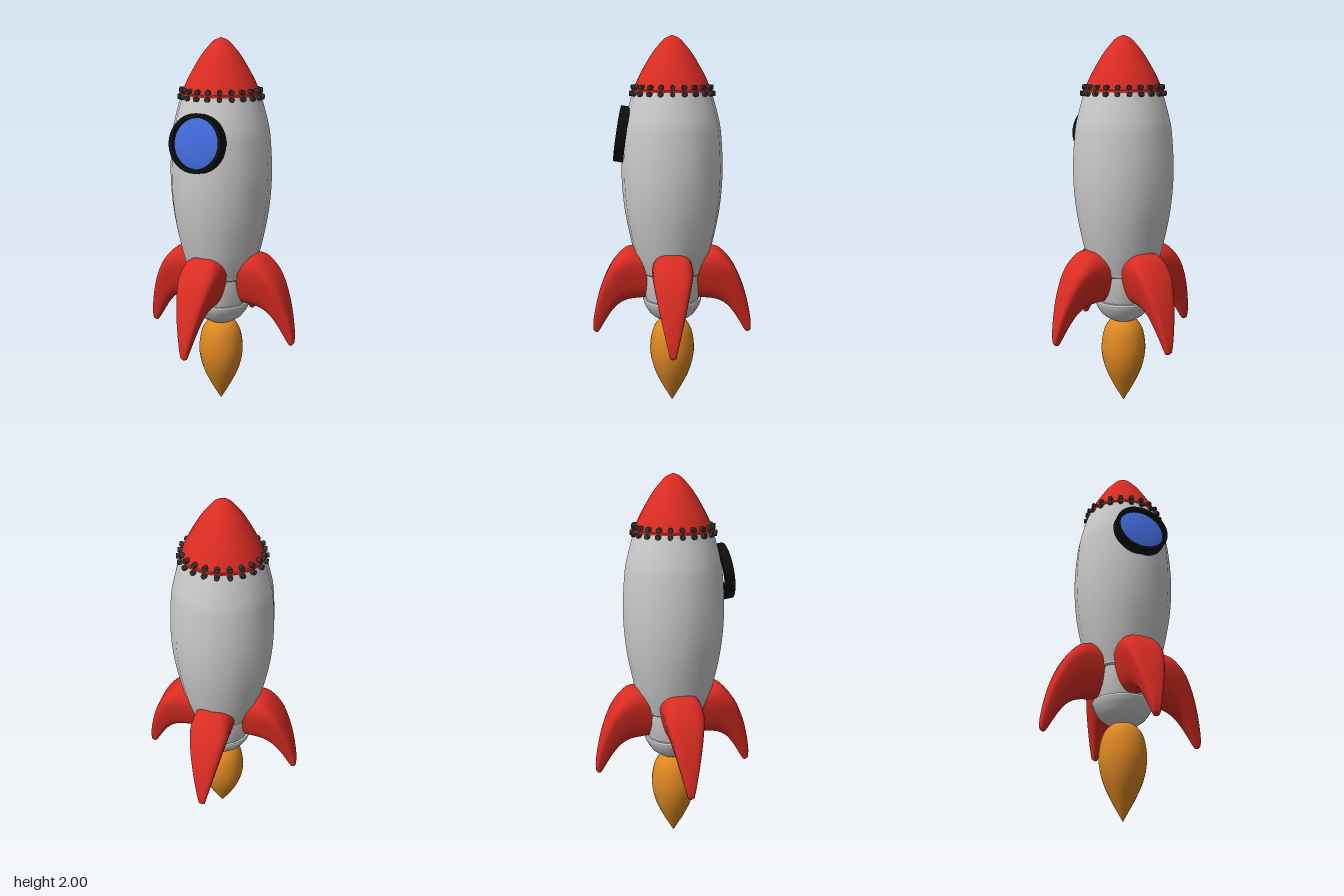
import * as THREE from 'three';
import { toCreasedNormals } from 'three/addons/utils/BufferGeometryUtils.js';

const mat = (name, color, extra = {}) => {
  const m = new THREE.MeshStandardMaterial({ color, ...extra });
  m.name = name;
  return m;
};
const vecs = (pts) => pts.map(([x, y]) => new THREE.Vector2(x, y));

// Smooth turned shape through a few [radius, height] points, bottom to top
function turned(pts, sides, samples = 32) {
  const curve = new THREE.SplineCurve(vecs(pts));
  const profile = curve.getPoints(samples).map((p) => new THREE.Vector2(Math.max(p.x, 0), p.y));
  return new THREE.LatheGeometry(profile, sides);
}

// Turned shape with straight segments and sharp edges
function turnedSharp(pts, sides) {
  return toCreasedNormals(new THREE.LatheGeometry(vecs(pts), sides), 0.6);
}

// Swept fin pointing to +x: rounded sections between an outer and an inner edge
function finGeometry() {
  const outer = new THREE.SplineCurve(vecs([
    [0.14, 0.88], [0.215, 0.892], [0.27, 0.868], [0.335, 0.79], [0.385, 0.68],
    [0.416, 0.57], [0.434, 0.47], [0.434, 0.42]]));
  const inner = new THREE.SplineCurve(vecs([
    [0.1, 0.615], [0.18, 0.608], [0.245, 0.598], [0.295, 0.57], [0.335, 0.525],
    [0.37, 0.47], [0.396, 0.425], [0.41, 0.407]]));
  const rings = 28, sides = 28;
  const pos = [], idx = [];
  const soft = (v) => Math.sign(v) * Math.abs(v) ** 0.6;
  for (let i = 0; i <= rings; i++) {
    const o = outer.getPoint(i / rings), n = inner.getPoint(i / rings);
    for (let j = 0; j < sides; j++) {
      const a = (j / sides) * Math.PI * 2;
      const t = 0.5 + 0.5 * soft(Math.cos(a));
      const x = n.x + (o.x - n.x) * t, y = n.y + (o.y - n.y) * t;
      // the fin narrows towards its lower end
      const w = Math.min(0.108, 0.014 + 0.24 * (y - 0.407));
      pos.push(x, y, w * soft(Math.sin(a)));
      if (i < rings) {
        const k = (j + 1) % sides, r = i * sides, s = r + sides;
        idx.push(r + j, r + k, s + k, r + j, s + k, s + j);
      }
    }
  }
  // tip cap
  const tip = pos.length / 3, last = rings * sides;
  pos.push(0.424, 0.406, 0);
  for (let j = 0; j < sides; j++) idx.push(tip, last + j, last + ((j + 1) % sides));
  const g = new THREE.BufferGeometry();
  g.setAttribute('position', new THREE.Float32BufferAttribute(pos, 3));
  g.setIndex(idx);
  g.computeVertexNormals();
  return g;
}

export function createModel() {
  const root = new THREE.Group();
  root.name = 'rocket';
  const grey = mat('hull grey', 0xcacaca);
  const red = mat('red paint', 0xdb2c22);
  const black = mat('window frame black', 0x0d0d0d);
  const dark = mat('rivet grey', 0x343434);
  const blue = mat('window blue', 0x426bdc);
  const orange = mat('flame orange', 0xdd8822);

  const add = (name, geo, material, parent = root) => {
    const m = new THREE.Mesh(geo, material);
    m.name = name;
    parent.add(m);
    return m;
  };

  // Hull
  add('body', turned([[0.176, 0.768], [0.215, 0.9], [0.254, 1.1], [0.268, 1.3], [0.257, 1.5],
    [0.238, 1.6], [0.203, 1.722]], 16), grey);
  add('bodyLip', turnedSharp([[0, 0.755], [0.17, 0.755], [0.177, 0.762], [0.177, 0.77], [0.15, 0.775]], 16), grey);
  add('engineSection', turnedSharp([[0, 0.602], [0.146, 0.602], [0.152, 0.62], [0.168, 0.74], [0.168, 0.757]], 16), grey);
  add('nozzleBowl', turned([[0, 0.472], [0.06, 0.482], [0.115, 0.517], [0.148, 0.565], [0.16, 0.597]], 24), grey);
  add('nozzleTop', turnedSharp([[0.16, 0.597], [0.158, 0.605], [0, 0.606]], 24), grey);

  // Nose cone with a narrow rim at its base
  add('noseCone', turned([[0.203, 1.722], [0.168, 1.8], [0.109, 1.9], [0.07, 1.95], [0.038, 1.983],
    [0, 2.0]], 32), red);
  add('noseRim', turnedSharp([[0.19, 1.714], [0.209, 1.714], [0.209, 1.724], [0.19, 1.73]], 32), red);

  // Two rows of rivets around the nose joint
  const rivets = new THREE.Group();
  rivets.name = 'rivets';
  root.add(rivets);
  const rivetGeo = new THREE.CylinderGeometry(0.013, 0.013, 0.026, 10);
  rivetGeo.rotateZ(-Math.PI / 2);
  const count = 22;
  for (const [r, y] of [[0.201, 1.739], [0.211, 1.706]]) {
    for (let i = 0; i < count; i++) {
      const a = (i / count) * Math.PI * 2;
      const rivet = add('rivet', rivetGeo, dark, rivets);
      rivet.position.set(r * Math.cos(a), y, -r * Math.sin(a));
      rivet.rotation.y = a;
    }
  }

  // Round window, tilted to follow the hull
  const porthole = new THREE.Group();
  porthole.name = 'porthole';
  porthole.position.set(0, 1.5, 0.287);
  porthole.rotation.x = Math.PI / 2 - 0.155;
  root.add(porthole);
  add('windowFrame', turnedSharp([[0.126, -0.052], [0.147, -0.052], [0.147, 0], [0.126, 0], [0.126, -0.052]], 48),
    black, porthole);
  add('windowGlass', turned([[0.128, -0.022], [0.09, -0.014], [0.045, -0.009], [0, -0.007]], 48, 12), blue, porthole);

  // Four fins
  const finGeo = finGeometry();
  ['leftFin', 'backFin', 'rightFin', 'frontFin'].forEach((name, i) => {
    add(name, finGeo, red).rotation.y = (i * Math.PI) / 2;
  });

  // Exhaust flame
  add('flame', turned([[0, 0], [0.026, 0.045], [0.062, 0.11], [0.102, 0.2], [0.122, 0.3], [0.112, 0.4],
    [0.088, 0.455], [0.05, 0.488], [0, 0.5]], 24), orange);

  return root;
}
